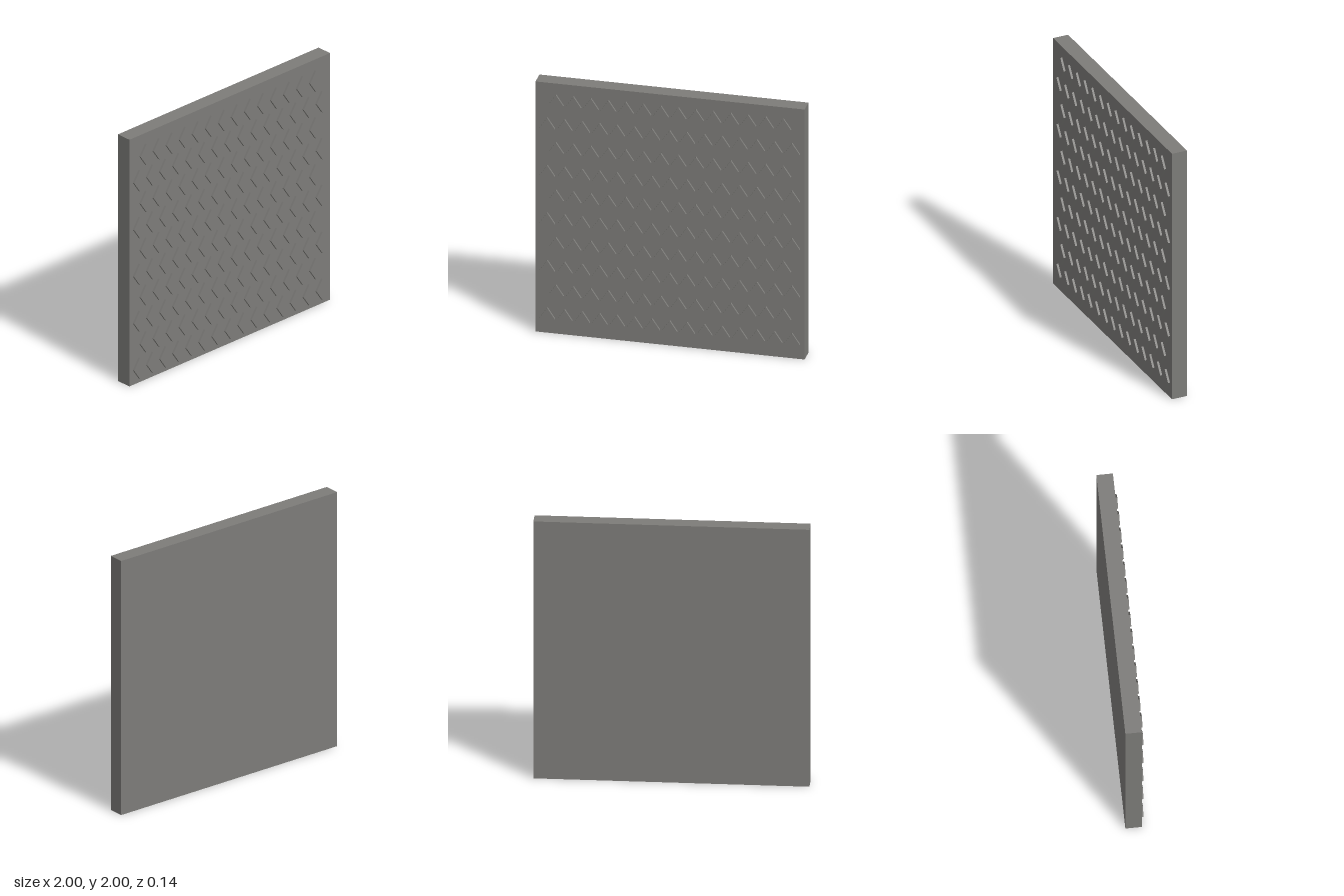
import * as THREE from 'three';

export function createModel() {
  const group = new THREE.Group();
  const steel = new THREE.MeshStandardMaterial({ color: 0x7d7c79 });
  steel.name = 'grey steel';

  // Base plate
  const back = -0.068, face = 0.052, front = 0.068;
  const plate = new THREE.Mesh(new THREE.BoxGeometry(2, 2, face - back), steel);
  plate.name = 'plate';
  plate.position.set(0, 1, (back + face) / 2);
  group.add(plate);

  // Raised diamond stud, shared by the whole tread
  const w = 0.057, h = 0.085;
  const outline = new THREE.Shape([
    new THREE.Vector2(0, -h), new THREE.Vector2(w, 0),
    new THREE.Vector2(0, h), new THREE.Vector2(-w, 0),
  ]);
  const studGeometry = new THREE.ExtrudeGeometry(outline, { depth: front - face, bevelEnabled: false });

  // Ten staggered rows, alternating fifteen and fourteen studs
  const tread = new THREE.Group();
  tread.name = 'diamondTread';
  const rows = 10, pitchX = 0.13, pitchY = 0.19, firstY = 0.12;
  for (let r = 0; r < rows; r++) {
    const count = r % 2 === 0 ? 15 : 14;
    for (let i = 0; i < count; i++) {
      const stud = new THREE.Mesh(studGeometry, steel);
      stud.name = 'diamondStud';
      stud.position.set((i - (count - 1) / 2) * pitchX, firstY + r * pitchY, face);
      tread.add(stud);
    }
  }
  group.add(tread);
  return group;
}
